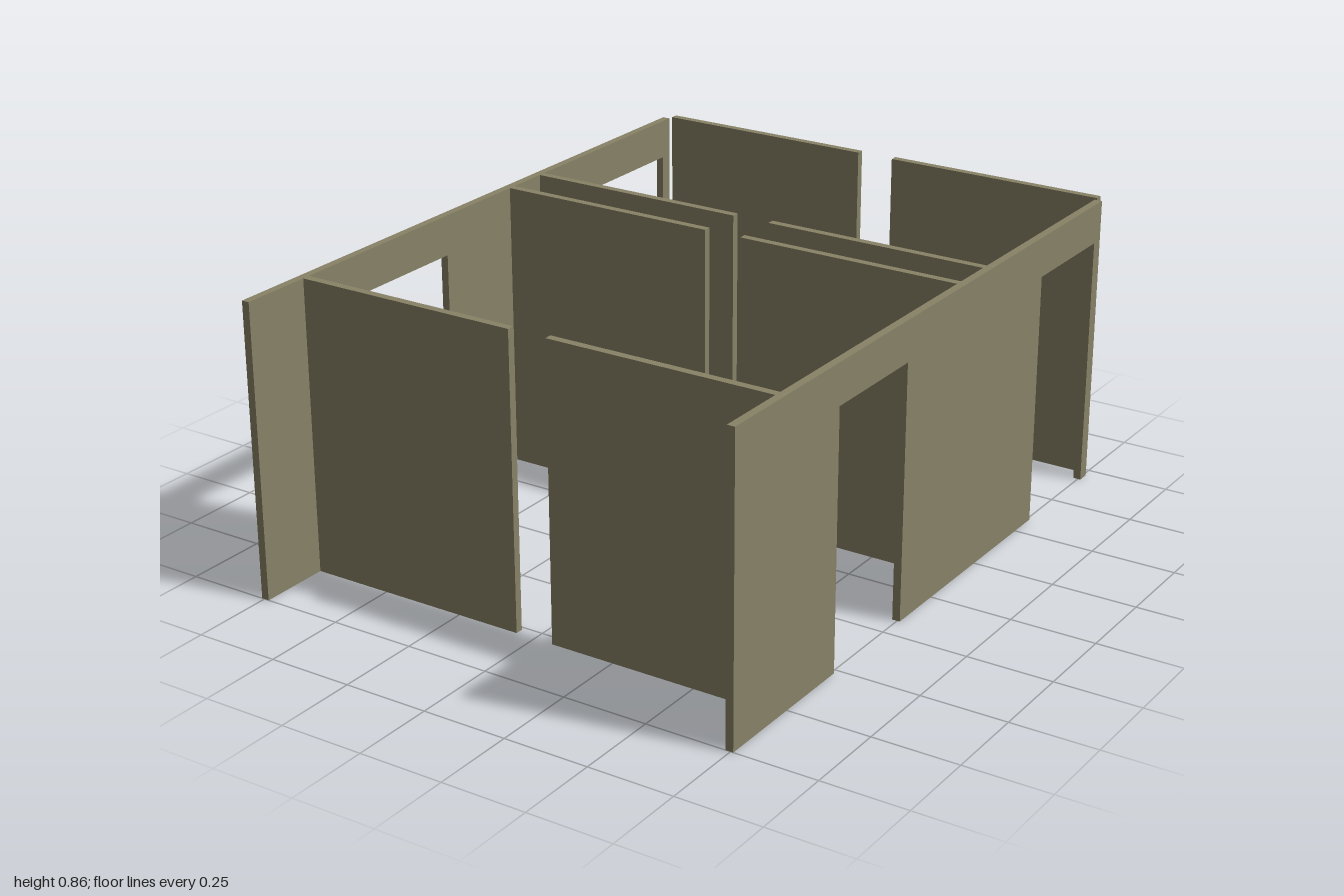
import * as THREE from 'three';

const HEIGHT = 0.863, DOOR_HEIGHT = 0.745, THICK = 0.023;
const OUTER_X = 0.758, GAP_X = 0.058;

// Outline of a long wall along z, with two doorways cut up from the floor
function sideWallGeometry() {
  const doors = [[-0.925, -0.59], [0.173, 0.518]];
  const shape = new THREE.Shape();
  shape.moveTo(-0.962, 0);
  for (const [a, b] of doors) {
    shape.lineTo(a, 0);
    shape.lineTo(a, DOOR_HEIGHT);
    shape.lineTo(b, DOOR_HEIGHT);
    shape.lineTo(b, 0);
  }
  shape.lineTo(1, 0);
  shape.lineTo(1, HEIGHT);
  shape.lineTo(-0.962, HEIGHT);
  shape.closePath();
  const geometry = new THREE.ExtrudeGeometry(shape, { depth: THICK, bevelEnabled: false });
  geometry.rotateY(-Math.PI / 2); // outline x becomes z
  geometry.translate(THICK / 2, 0, 0);
  return geometry;
}

export function createModel() {
  const group = new THREE.Group();
  group.name = 'partitionWalls';
  const wallMaterial = new THREE.MeshStandardMaterial({ color: 0x878266 });
  wallMaterial.name = 'olive wall';

  const add = (name, geometry, x, y, z) => {
    const mesh = new THREE.Mesh(geometry, wallMaterial);
    mesh.name = name;
    mesh.position.set(x, y, z);
    group.add(mesh);
  };

  // Cross walls, each a pair of panels with a central gap
  const crossWalls = [
    ['backWall', -0.989],
    ['rearPartition', -0.285],
    ['middlePartition', -0.138],
    ['frontWall', 0.774],
  ];
  const innerX = OUTER_X - THICK;
  const panel = new THREE.BoxGeometry(innerX - GAP_X, HEIGHT, THICK);
  const sideWall = sideWallGeometry();

  for (const [side, s] of [['Left', 1], ['Right', -1]]) {
    add('sideWall' + side, sideWall, s * (OUTER_X - THICK / 2), 0, 0);
    for (const [name, z] of crossWalls) {
      add(name + side, panel, s * (innerX + GAP_X) / 2, HEIGHT / 2, z);
    }
  }
  return group;
}
